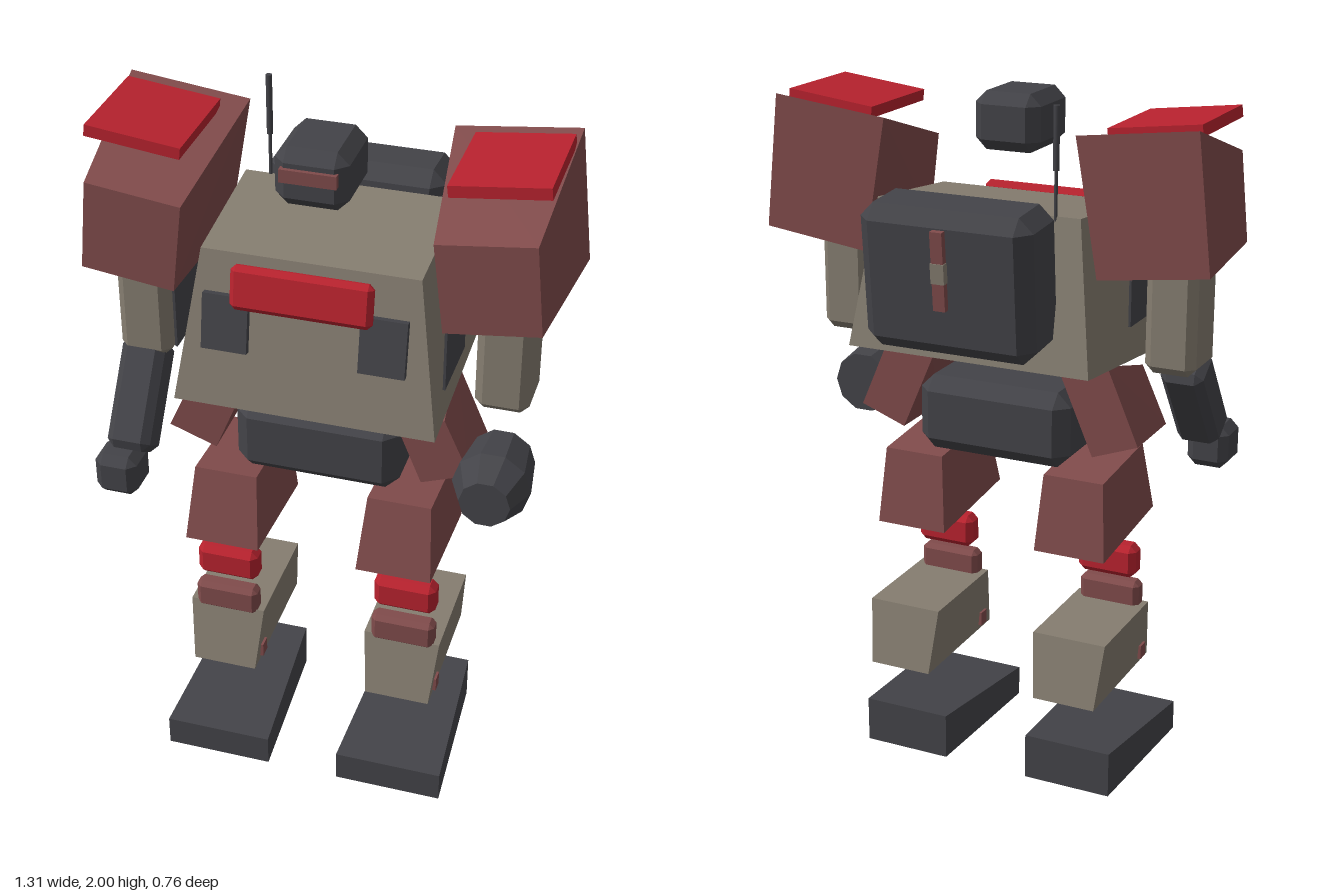
import * as THREE from 'three';
import { ConvexGeometry } from 'three/addons/geometries/ConvexGeometry.js';

export function createModel() {
  const model = new THREE.Group();
  model.name = 'robot';

  const material = (name, color) => {
    const m = new THREE.MeshStandardMaterial({ color });
    m.name = name;
    return m;
  };
  const dark = material('charcoal', 0x434348);
  const beige = material('stone', 0x857d70);
  const maroon = material('dusty maroon', 0x804b4b);
  const red = material('red', 0xb8222e);

  const add = (name, geometry, mat, pos = [0, 0, 0], rot = [0, 0, 0]) => {
    const mesh = new THREE.Mesh(geometry, mat);
    mesh.name = name;
    mesh.position.set(...pos);
    mesh.rotation.set(...rot);
    model.add(mesh);
    return mesh;
  };

  // Faceted solid around a few corner points, optionally mirrored in x
  const hull = (points, side = 1) =>
    new ConvexGeometry(points.map(([x, y, z]) => new THREE.Vector3(x * side, y, z)));

  // Solid symmetric about cx; each corner is [half width, y, z]
  const wedge = (cx, corners) =>
    hull(corners.flatMap(([w, y, z]) => [[cx - w, y, z], [cx + w, y, z]]));

  // Box with its edges and corners cut by c
  const chamferBox = (w, h, d, c) => {
    const points = [];
    const [a, b, e] = [w / 2, h / 2, d / 2];
    for (const x of [-1, 1]) for (const y of [-1, 1]) for (const z of [-1, 1]) {
      points.push(
        [x * a, y * (b - c), z * (e - c)],
        [x * (a - c), y * b, z * (e - c)],
        [x * (a - c), y * (b - c), z * e]);
    }
    return hull(points);
  };
  const box = (w, h, d) => new THREE.BoxGeometry(w, h, d);

  // Torso and pelvis
  add('torso', wedge(0, [
    [0.295, 1.675, 0.24], [0.3, 1.71, -0.14],
    [0.36, 1.245, 0.32], [0.36, 1.3, -0.215]]), beige);
  add('pelvis', chamferBox(0.465, 0.22, 0.29, 0.04), dark, [0, 1.075, 0.075]);
  add('chestBar', chamferBox(0.38, 0.122, 0.035, 0.014), red, [0, 1.62, 0.314], [-0.18, 0, 0]);

  // Head and visor
  add('head', chamferBox(0.195, 0.16, 0.225, 0.032), dark, [0, 1.905, 0.133]);
  add('visor', box(0.15, 0.036, 0.02), maroon, [0, 1.922, 0.247]);

  // Backpack, its rear strip and the antenna
  add('backpack', chamferBox(0.5, 0.4, 0.205, 0.04), dark, [0, 1.55, -0.248], [-0.08, 0, 0]);
  add('backpackStrip', box(0.035, 0.215, 0.025), maroon, [0, 1.59, -0.36], [-0.08, 0, 0]);
  add('stripLatch', box(0.039, 0.055, 0.029), beige, [0, 1.585, -0.36], [-0.08, 0, 0]);
  add('antennaTip', new THREE.CylinderGeometry(0.009, 0.009, 0.17, 8), dark, [-0.228, 1.915, -0.138]);
  add('antennaRod', new THREE.CylinderGeometry(0.005, 0.005, 0.16, 8), dark, [-0.228, 1.76, -0.138]);

  for (const s of [1, -1]) {
    const side = s > 0 ? 'left' : 'right';

    // Chest vents and side plates
    add(side + 'ChestVent', box(0.125, 0.155, 0.02), dark, [s * 0.213, 1.498, 0.3], [-0.18, 0, 0]);
    add(side + 'SidePlate', box(0.007, 0.3, 0.215), dark, [s * 0.367, 1.525, 0.158]);

    // Shoulder block and pad
    add(side + 'Shoulder', hull([
      [0.28, 1.925, -0.135], [0.615, 1.965, -0.135], [0.345, 1.55, -0.135], [0.657, 1.59, -0.135],
      [0.33, 1.805, 0.28], [0.59, 1.838, 0.28], [0.36, 1.555, 0.28], [0.615, 1.588, 0.28]], s), maroon);
    add(side + 'ShoulderPad', box(0.26, 0.032, 0.305), red, [s * 0.476, 1.94, 0.07], [0, 0, s * 0.12]);

    // Upper arm
    add(side + 'UpperArm', chamferBox(0.147, 0.4, 0.175, 0.024), beige, [s * 0.499, 1.465, 0.088]);

    // Tilted hip block
    add(side + 'Hip', hull([
      [0.2, 1.23, -0.025], [0.335, 1.28, -0.025], [0.295, 1.01, -0.025], [0.43, 1.06, -0.025],
      [0.225, 1.18, 0.19], [0.355, 1.225, 0.19], [0.295, 1.01, 0.19], [0.43, 1.06, 0.19]], s), maroon);

    // Leg
    add(side + 'Thigh', wedge(s * 0.25, [
      [0.09, 0.968, 0.245], [0.09, 0.945, -0.05],
      [0.107, 0.755, 0.3], [0.107, 0.72, -0.075]]), maroon);
    add(side + 'KneePad', chamferBox(0.18, 0.1, 0.07, 0.018), red, [s * 0.265, 0.62, 0.196]);
    add(side + 'KneeBlock', chamferBox(0.185, 0.09, 0.057, 0.014), maroon, [s * 0.265, 0.502, 0.217]);
    add(side + 'Shin', wedge(s * 0.264, [
      [0.111, 0.476, 0.235], [0.111, 0.476, -0.097],
      [0.094, 0.285, 0.28], [0.094, 0.285, -0.133]]), beige);
    add(side + 'AnklePin', box(0.212, 0.042, 0.036), maroon, [s * 0.264, 0.322, 0.217]);
    add(side + 'Foot', wedge(s * 0.263, [
      [0.157, 0, 0.365], [0.157, 0.092, 0.365],
      [0.132, 0, -0.1], [0.132, 0.137, -0.1]]), dark);
  }

  // Right forearm and hand
  add('rightForearm', chamferBox(0.125, 0.31, 0.12, 0.022), dark, [-0.508, 1.15, 0.2], [-0.61, 0, 0]);
  add('rightHand', chamferBox(0.122, 0.125, 0.13, 0.024), dark, [-0.529, 0.982, 0.315]);

  // Left round fist, a ten-sided solid along z
  const fist = [];
  for (const [r, z] of [[0.07, 0.325], [0.108, 0.24], [0.09, 0.1]]) {
    for (let i = 0; i < 10; i++) {
      const a = (i * Math.PI) / 5;
      fist.push([0.5 + r * Math.cos(a), 1.075 + r * Math.sin(a), z]);
    }
  }
  add('leftFist', hull(fist), dark);

  return model;
}
